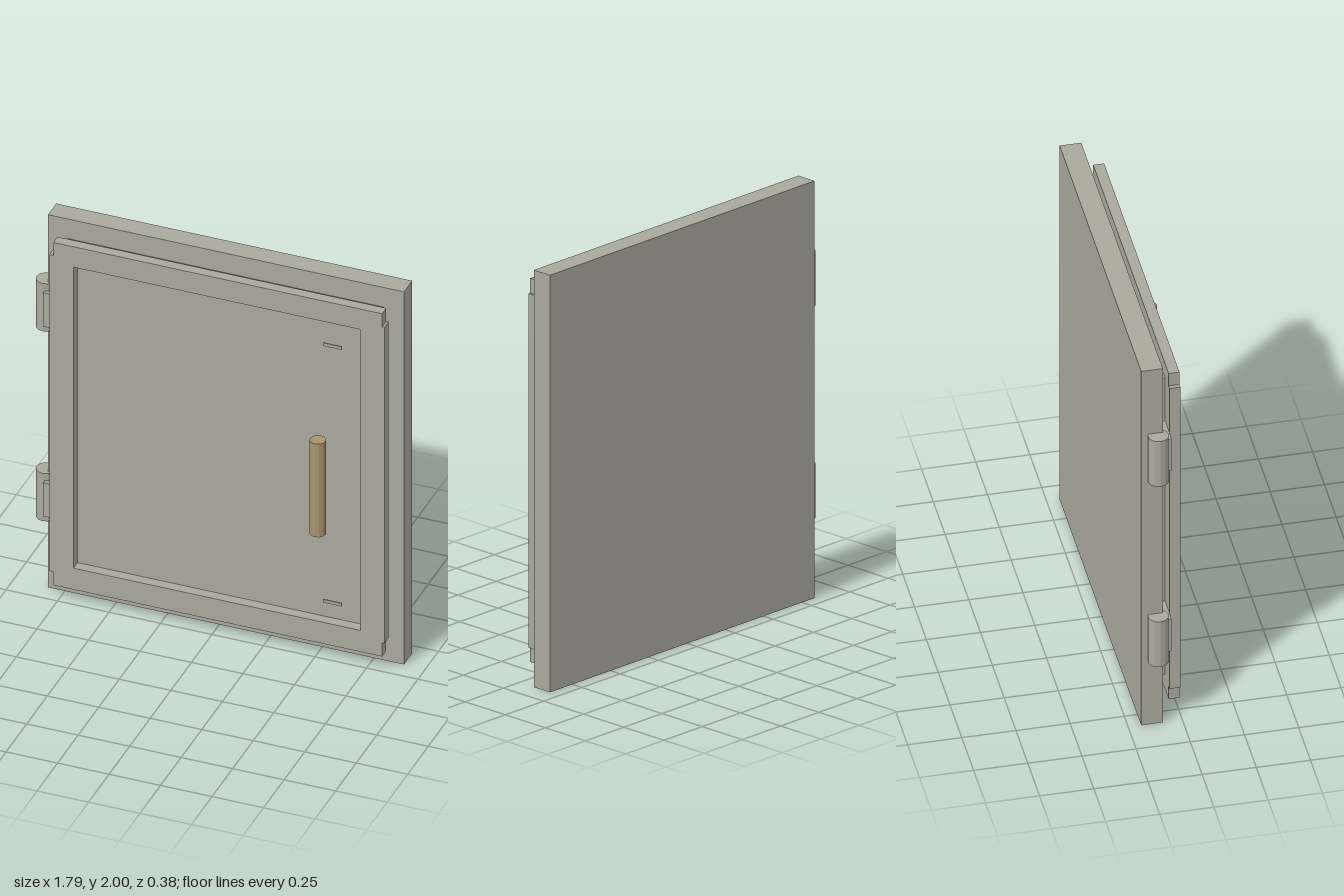
import * as THREE from 'three';

const mat = (name, color) => {
  const m = new THREE.MeshStandardMaterial({ color });
  m.name = name;
  return m;
};

export function createModel() {
  const model = new THREE.Group();
  model.name = 'cabinetDoor';
  const grey = mat('warm grey paint', 0xa9a99d);
  const brown = mat('brown seal', 0x8f7353);
  const tan = mat('tan handle', 0xa8946f);

  const add = (name, geometry, material) => {
    const mesh = new THREE.Mesh(geometry, material);
    mesh.name = name;
    model.add(mesh);
    return mesh;
  };
  // Box given by its limits on each axis
  const block = (name, material, x0, x1, y0, y1, z0, z1) => {
    const mesh = add(name, new THREE.BoxGeometry(x1 - x0, y1 - y0, z1 - z0), material);
    mesh.position.set((x0 + x1) / 2, (y0 + y1) / 2, (z0 + z1) / 2);
  };
  const rod = (name, material, x, y0, y1, z, r) => {
    const geo = new THREE.CylinderGeometry(r, r, y1 - y0, 12).toNonIndexed();
    geo.computeVertexNormals(); // faceted sides
    add(name, geo, material).position.set(x, (y0 + y1) / 2, z);
  };

  // Stacked layers, from the back forward
  block('backPlate', grey, -0.832, 0.896, 0, 2, -0.19, -0.09);
  block('seal', brown, -0.737, 0.8, 0.11, 1.895, -0.09, -0.07);
  block('doorPanel', grey, -0.695, 0.75, 0.165, 1.84, -0.07, -0.05);

  // Raised door frame with notched corners and a rectangular opening
  const outline = new THREE.Shape([
    [-0.77, 0.08], [0.826, 0.08], [0.826, 0.152], [0.837, 0.152],
    [0.837, 1.85], [0.826, 1.85], [0.826, 1.92], [-0.77, 1.92],
    [-0.77, 1.85], [-0.79, 1.85], [-0.79, 0.152], [-0.77, 0.152],
  ].map(([x, y]) => new THREE.Vector2(x, y)));
  outline.holes.push(new THREE.Path([
    [-0.672, 0.195], [-0.672, 1.81], [0.72, 1.81], [0.72, 0.195],
  ].map(([x, y]) => new THREE.Vector2(x, y))));
  const frame = new THREE.ExtrudeGeometry(outline, { depth: 0.05, bevelEnabled: false });
  add('doorFrame', frame, grey).position.z = -0.05;

  // Hinge barrels with their leaves
  for (const y of [0.493, 1.512]) {
    rod('hingeBarrel', grey, -0.85, y - 0.128, y + 0.128, -0.115, 0.048);
    block('hingeLeaf', grey, -0.84, -0.7, y - 0.09, y + 0.09, -0.075, -0.051);
  }

  // Handle grip and its two thin mounting marks
  rod('handle', tan, 0.575, 0.775, 1.275, 0.152, 0.038);
  for (const y of [0.32, 1.697]) {
    block('mountPlate', grey, 0.545, 0.635, y - 0.008, y + 0.008, 0.009, 0.015);
  }
  return model;
}
